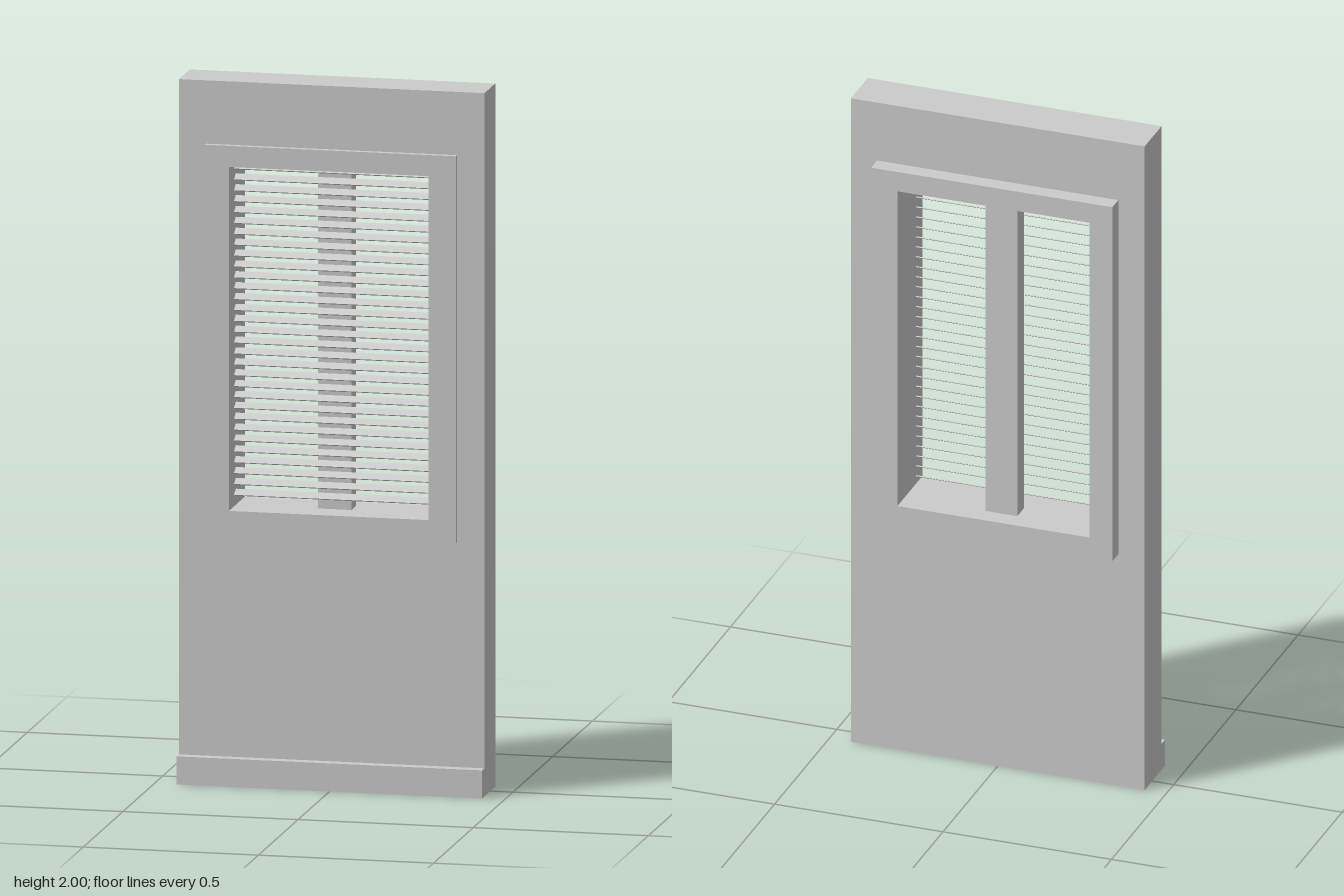
import * as THREE from 'three';

const material = new THREE.MeshStandardMaterial({ color: 0xcccccc, flatShading: true });

// Box given by its limits on each axis
function box(name, x0, x1, y0, y1, z0, z1) {
  const mesh = new THREE.Mesh(new THREE.BoxGeometry(x1 - x0, y1 - y0, z1 - z0), material);
  mesh.position.set((x0 + x1) / 2, (y0 + y1) / 2, (z0 + z1) / 2);
  mesh.name = name;
  return mesh;
}

function rectangle(PathType, [x0, x1, y0, y1]) {
  return new PathType([[x0, y0], [x1, y0], [x1, y1], [x0, y1]].map(([x, y]) => new THREE.Vector2(x, y)));
}

// Rectangular slab with a rectangular opening
function slabWithOpening(name, outer, inner, z0, z1) {
  const shape = rectangle(THREE.Shape, outer);
  shape.holes.push(rectangle(THREE.Path, inner));
  const geometry = new THREE.ExtrudeGeometry(shape, { depth: z1 - z0, bevelEnabled: false });
  geometry.translate(0, 0, z0);
  const mesh = new THREE.Mesh(geometry, material);
  mesh.name = name;
  return mesh;
}

export function createModel() {
  const model = new THREE.Group();
  model.name = 'wallPanelWithWindow';

  // Wall; its opening is hidden inside the window frame
  model.add(slabWithOpening('wall', [-0.436, 0.436, 0, 2], [-0.32, 0.32, 0.75, 1.79], -0.06, 0.076));
  model.add(box('baseboard', -0.436, 0.436, 0, 0.08, 0.076, 0.105));

  // Window frame and the post behind the blind
  model.add(slabWithOpening('windowFrame', [-0.358, 0.358, 0.72, 1.82], [-0.29, 0.28, 0.782, 1.76], -0.108, 0.092));
  model.add(box('windowPost', -0.055, 0.04, 0.782, 1.76, -0.052, 0.004));

  // Blind slats, sloping down towards the front
  const blind = new THREE.Group();
  blind.name = 'blind';
  const count = 31, top = 1.748, bottom = 0.82;
  for (let i = 0; i < count; i++) {
    const y = top + (bottom - top) * i / (count - 1);
    const slat = box('slat', -0.29, 0.266, y - 0.0015, y + 0.0015, 0.003, 0.029);
    slat.rotation.x = THREE.MathUtils.degToRad(30);
    blind.add(slat);
  }
  model.add(blind);

  return model;
}
